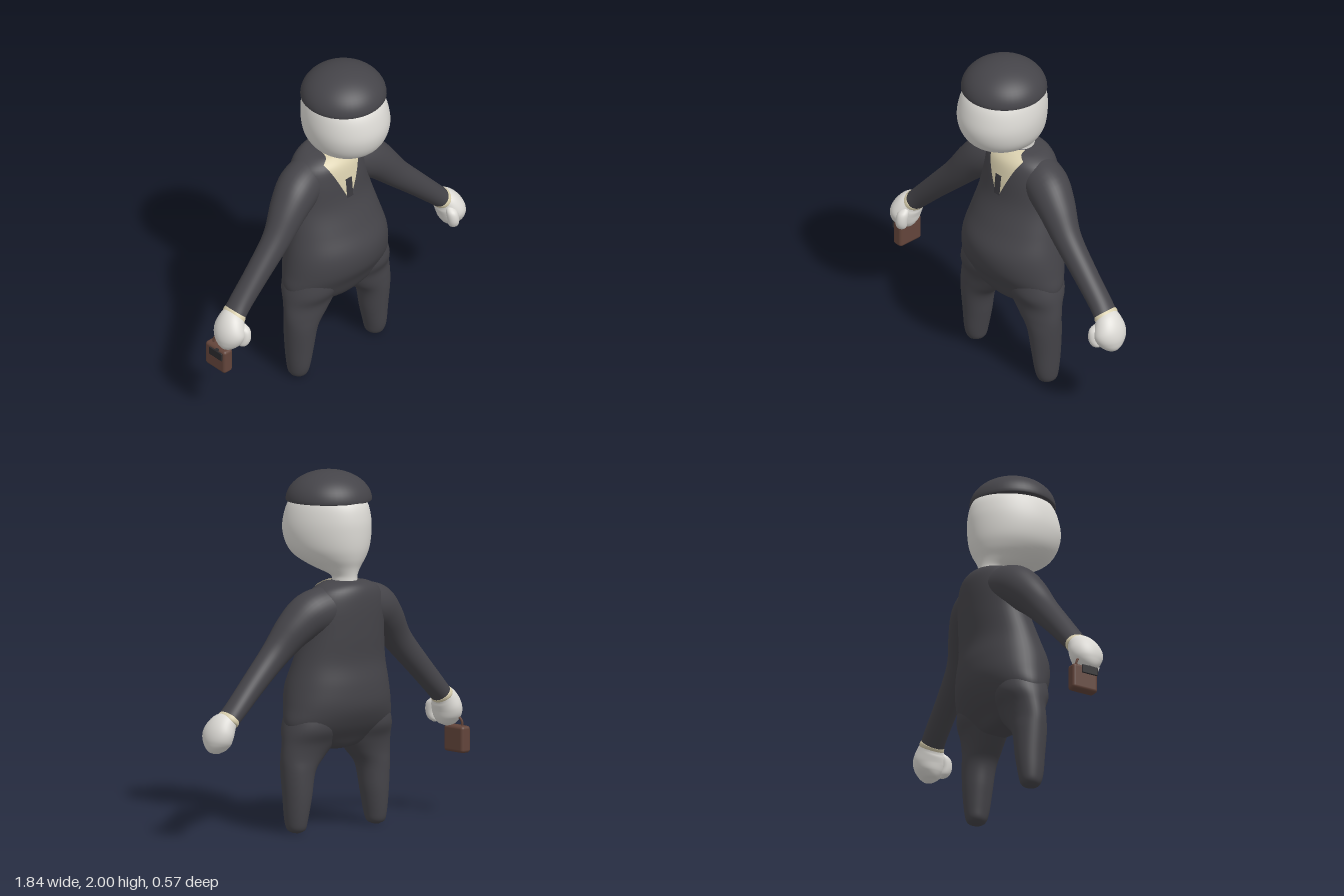
import * as THREE from 'three';
import { RoundedBoxGeometry } from 'three/addons/geometries/RoundedBoxGeometry.js';

const mat = (name, color, side = THREE.FrontSide) => {
  const m = new THREE.MeshStandardMaterial({ color, side });
  m.name = name;
  return m;
};

// Smooth curves through sections [x, y, z, half width, half depth], listed from top to bottom
function sectionCurves(sections) {
  const curve = (f) => new THREE.CatmullRomCurve3(sections.map(f), false, 'catmullrom', 0.5);
  return {
    centre: curve((s) => new THREE.Vector3(s[0], s[1], s[2])),
    size: curve((s) => new THREE.Vector3(s[3], s[4], 0)),
  };
}

// Closed skin over elliptical rings; rings are level, or square to the path when tilted
function loft(sections, { tilted = false, egg = 0, rows = 5, around = 40 } = {}) {
  const { centre, size } = sectionCurves(sections);
  const n = (sections.length - 1) * rows;
  const pos = [], index = [];
  for (let i = 0; i <= n; i++) {
    const c = centre.getPoint(i / n), s = size.getPoint(i / n);
    const t = tilted ? centre.getTangent(i / n) : new THREE.Vector3(0, -1, 0);
    const len = Math.hypot(t.x, t.y);
    for (let j = 0; j < around; j++) {
      const a = (j / around) * Math.PI * 2;
      const w = s.x * Math.cos(a) * (1 + egg * Math.sin(a));
      pos.push(c.x - (t.y / len) * w, c.y + (t.x / len) * w, c.z + s.y * Math.sin(a));
    }
  }
  const first = sections[0], last = sections[sections.length - 1];
  pos.push(first[0], first[1], first[2], last[0], last[1], last[2]);
  const top = (n + 1) * around;
  for (let j = 0; j < around; j++) {
    const k = (j + 1) % around, e = n * around;
    for (let i = 0; i < n; i++) {
      const a = i * around + j, b = i * around + k;
      index.push(a, b, a + around, b, b + around, a + around);
    }
    index.push(top, k, j, top + 1, e + j, e + k);
  }
  const g = new THREE.BufferGeometry();
  g.setAttribute('position', new THREE.Float32BufferAttribute(pos, 3));
  g.setIndex(index);
  g.computeVertexNormals();
  return g;
}

// [y, left x, right x, front z, back z] to a loft section
const ring = ([y, x0, x1, zf, zb]) => [(x0 + x1) / 2, y, (zf + zb) / 2, (x1 - x0) / 2, (zf - zb) / 2];
// [y, half width, front z, back z] for parts on the centre line
const midRing = ([y, w, zf, zb]) => ring([y, -w, w, zf, zb]);

const TORSO = [
  [1.4, 0.07, -0.05, -0.2], [1.385, 0.15, -0.01, -0.245], [1.34, 0.22, 0.03, -0.272],
  [1.25, 0.255, 0.05, -0.28], [1.1, 0.265, 0.07, -0.275], [0.95, 0.295, 0.125, -0.265],
  [0.82, 0.325, 0.178, -0.28], [0.7, 0.345, 0.17, -0.275], [0.6, 0.355, 0.12, -0.23],
  [0.52, 0.3, 0.08, -0.17], [0.47, 0.16, 0.04, -0.13], [0.45, 0.05, 0, -0.08],
].map(midRing);

const LEG = [
  [0.68, 0.02, 0.335, 0.1, -0.2], [0.58, 0.02, 0.362, 0.1, -0.2], [0.5, 0.03, 0.372, 0.068, -0.16],
  [0.42, 0.1, 0.377, 0.06, -0.138], [0.34, 0.17, 0.373, 0.055, -0.133], [0.2, 0.2, 0.362, 0.042, -0.128],
  [0.08, 0.225, 0.352, 0.03, -0.115], [0.02, 0.24, 0.34, 0.01, -0.1], [0, 0.27, 0.31, -0.02, -0.07],
].map(ring);

const HEAD = [
  [1.92, 0.1, 0.1, -0.1], [1.88, 0.165, 0.19, -0.18], [1.82, 0.205, 0.25, -0.23],
  [1.74, 0.226, 0.28, -0.25], [1.66, 0.229, 0.288, -0.252], [1.58, 0.212, 0.265, -0.245],
  [1.52, 0.175, 0.215, -0.23], [1.47, 0.12, 0.11, -0.21], [1.43, 0.073, -0.025, -0.2],
  [1.4, 0.066, -0.05, -0.198], [1.36, 0.07, -0.04, -0.2],
].map(midRing);

const ARM = [
  [0.1, 1.265, -0.13, 0.12, 0.12], [0.23, 1.225, -0.105, 0.128, 0.125], [0.33, 1.15, -0.08, 0.108, 0.11],
  [0.45, 1.015, -0.05, 0.082, 0.08], [0.6, 0.862, -0.042, 0.068, 0.07],
  [0.72, 0.738, -0.04, 0.06, 0.068], [0.778, 0.678, -0.035, 0.056, 0.07],
];
const CUFF = [[0.77, 0.687, -0.035, 0.055, 0.069], [0.776, 0.681, -0.035, 0.058, 0.073], [0.788, 0.668, -0.033, 0.058, 0.074], [0.794, 0.66, -0.03, 0.05, 0.066]];
const HAND = [
  [0.775, 0.685, -0.035, 0.05, 0.062], [0.808, 0.65, -0.022, 0.07, 0.085], [0.834, 0.6, -0.015, 0.077, 0.1],
  [0.842, 0.55, -0.015, 0.073, 0.086], [0.845, 0.51, -0.012, 0.055, 0.05], [0.845, 0.492, -0.01, 0.02, 0.018],
];
const THUMB = [
  [0.79, 0.65, 0.03, 0.015, 0.015], [0.787, 0.62, 0.052, 0.03, 0.034], [0.79, 0.57, 0.062, 0.032, 0.034],
  [0.797, 0.53, 0.055, 0.028, 0.028], [0.802, 0.51, 0.045, 0.01, 0.01],
];

// Thin cloth patch lying on the chest; halfWidth gives its outline at each height
function chestPatch(t0, t1, halfWidth, lift) {
  const { centre, size } = sectionCurves(TORSO);
  const g = new THREE.PlaneGeometry(1, 1, 16, 30);
  const p = g.attributes.position;
  for (let i = 0; i < p.count; i++) {
    const t = t0 + (0.5 - p.getY(i)) * (t1 - t0);
    const c = centre.getPoint(t), s = size.getPoint(t);
    const x = p.getX(i) * 2 * Math.min(halfWidth(c.y), s.x * 0.95);
    p.setXYZ(i, x, c.y + lift * 0.6, c.z + s.y * Math.sqrt(1 - (x / s.x) ** 2) + lift);
  }
  g.computeVertexNormals();
  return g;
}

export function createModel() {
  const suit = mat('charcoal suit', 0x454449);
  const skin = mat('pale skin', 0xdcdad5);
  const shirt = mat('cream shirt', 0xd9cfae, THREE.DoubleSide);
  const tieCloth = mat('dark tie', 0x3a393e, THREE.DoubleSide);
  const leather = mat('brown leather', 0x62443a);
  const metal = mat('black fitting', 0x2b2a2d);

  const model = new THREE.Group();
  model.name = 'suitedFigure';
  const add = (name, geometry, material, parent = model) => {
    const m = new THREE.Mesh(geometry, material);
    m.name = name;
    parent.add(m);
    return m;
  };

  // Body and head
  add('torso', loft(TORSO, { around: 56 }), suit);
  add('head', loft(HEAD, { egg: 0.1, around: 56 }), skin);

  // Domed cap with a flat underside
  const dome = [new THREE.Vector2(0, 1.835), new THREE.Vector2(0.236, 1.83), new THREE.Vector2(0.236, 1.83)];
  for (let i = 0; i <= 16; i++) {
    const a = (i / 16) * Math.PI / 2;
    dome.push(new THREE.Vector2(0.24 * Math.cos(a), 1.835 + 0.165 * Math.sin(a)));
  }
  add('cap', new THREE.LatheGeometry(dome, 48), suit).position.z = 0.015;

  // Shirt front and tie
  const per = 1 / (TORSO.length - 1);
  const vNeck = (y) => (y > 1.37 ? 0.12 - (y - 1.37) * 1.8 : Math.max(0.016, 0.12 - (1.37 - y) * 0.46));
  add('shirtFront', chestPatch(0.1 * per, 3.68 * per, vNeck, 0.005), shirt);
  add('tie', chestPatch(2.9 * per, 3.75 * per, () => 0.023, 0.009), tieCloth);

  // Limbs on both sides
  for (const [side, sign] of [['left', 1], ['right', -1]]) {
    const flip = (sections) => sections.map(([x, ...rest]) => [x * sign, ...rest]);
    add(side + 'Leg', loft(flip(LEG)), suit);
    add(side + 'Arm', loft(flip(ARM), { tilted: true }), suit);
    add(side + 'Cuff', loft(flip(CUFF), { tilted: true }), shirt);
    add(side + 'Hand', loft(flip(HAND), { tilted: true }), skin);
    add(side + 'Thumb', loft(flip(THUMB), { around: 20 }), skin);
  }

  // Briefcase carried in the right hand
  const briefcase = new THREE.Group();
  briefcase.name = 'briefcase';
  briefcase.position.set(-0.875, 0.42, -0.06);
  model.add(briefcase);
  add('case', new RoundedBoxGeometry(0.066, 0.15, 0.16, 4, 0.018), leather, briefcase);
  const grip = new THREE.CatmullRomCurve3([
    [0, 0.06, -0.04], [0, 0.1, -0.04], [0.01, 0.125, -0.02],
    [0.01, 0.125, 0.02], [0, 0.1, 0.04], [0, 0.06, 0.04],
  ].map((p) => new THREE.Vector3(...p)));
  add('handle', new THREE.TubeGeometry(grip, 24, 0.007, 8), leather, briefcase);
  add('tag', new RoundedBoxGeometry(0.01, 0.05, 0.1, 2, 0.004), metal, briefcase).position.set(-0.043, 0.045, 0.02);
  add('tagStrap', new THREE.BoxGeometry(0.05, 0.008, 0.02), metal, briefcase).position.set(-0.02, 0.068, 0.02);

  return model;
}
